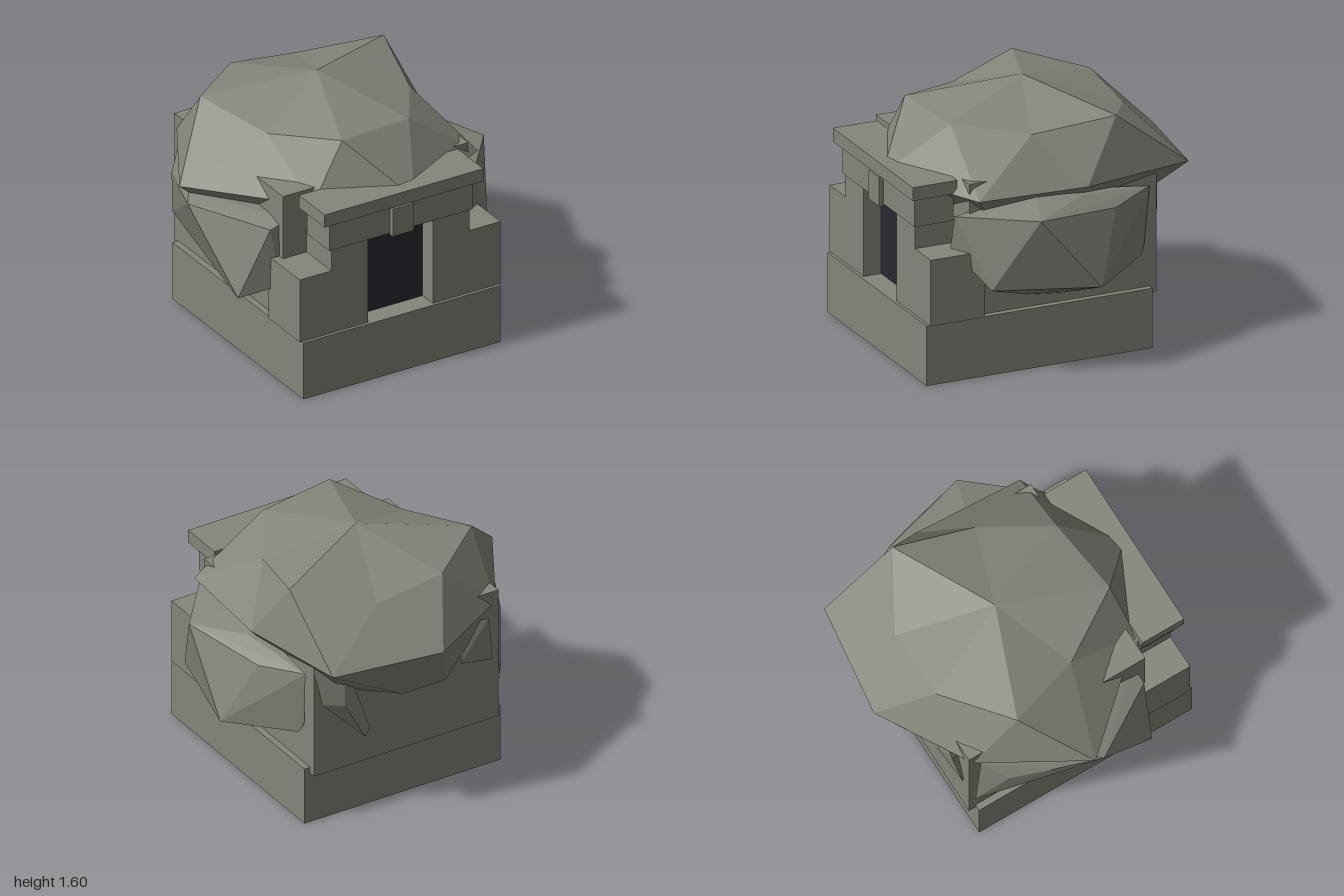
import * as THREE from 'three';
import { ConvexGeometry } from 'three/addons/geometries/ConvexGeometry.js';

const stone = new THREE.MeshStandardMaterial({ color: 0x85857c, flatShading: true, side: THREE.DoubleSide });
stone.name = 'grey stone';
const dark = new THREE.MeshStandardMaterial({ color: 0x282832, flatShading: true });
dark.name = 'dark doorway';

export function createModel() {
  const model = new THREE.Group();
  model.name = 'stoneHut';

  function add(name, geometry, material = stone) {
    const mesh = new THREE.Mesh(geometry, material);
    mesh.name = name;
    model.add(mesh);
    return mesh;
  }

  // Box given by its limits on each axis
  function block(name, [x0, x1], [y0, y1], [z0, z1], material) {
    const g = new THREE.BoxGeometry(x1 - x0, y1 - y0, z1 - z0);
    g.translate((x0 + x1) / 2, (y0 + y1) / 2, (z0 + z1) / 2);
    return add(name, g, material);
  }

  // Hollow block without its underside
  function openBlock(...args) {
    const { geometry } = block(...args);
    const faces = Array.from(geometry.index.array);
    faces.splice(18, 6);
    geometry.setIndex(faces);
    geometry.clearGroups();
  }

  // Faceted boulder wrapped around a few corner points
  function boulder(name, points) {
    return add(name, new ConvexGeometry(points.map((p) => new THREE.Vector3(...p))));
  }

  // Plinth and inner chamber
  openBlock('plinth', [-0.672, 0.705], [0, 0.38], [-0.582, 0.905]);
  openBlock('chamber', [-0.63, 0.665], [0.34, 1.22], [-0.628, 0.605]);

  // Stepped door pillars: a low outer shoulder and a taller inner post
  block('rightShoulder', [-0.685, -0.465], [0.38, 0.8], [0.53, 0.885]);
  block('rightPost', [-0.465, -0.21], [0.38, 0.945], [0.53, 0.885]);
  block('leftShoulder', [0.5, 0.717], [0.38, 0.8], [0.53, 0.885]);
  block('leftPost', [0.245, 0.5], [0.38, 0.945], [0.53, 0.885]);

  // Doorway, lintel, keystone and cap slab
  block('doorway', [-0.21, 0.245], [0.38, 0.945], [0.61, 0.77], dark);
  block('lintel', [-0.485, 0.517], [0.945, 1.135], [0.64, 0.895]);
  block('keystone', [-0.06, 0.087], [0.935, 1.12], [0.85, 0.925]);
  block('capSlab', [-0.54, 0.57], [1.135, 1.22], [0.64, 0.932]);

  // Roof boulder: apex, crown ring, rim ring, lower ring and underside centre
  const crown = [
    [-0.65, 1.49, -0.3], [-0.48, 1.41, 0.18], [-0.22, 1.485, 0.61], [0.285, 1.465, 0.55],
    [0.545, 1.42, 0.14], [0.67, 1.505, -0.36], [0.22, 1.395, -0.62], [-0.24, 1.455, -0.62],
  ];
  const rim = [
    [-0.63, 1.13, -0.6], [-1, 1.13, 0.03], [-0.45, 1.13, 0.65], [0.1, 1.145, 0.91],
    [0.75, 1.13, 0.58], [0.79, 1.13, -0.12], [0.665, 1.135, -0.84], [-0.05, 1.13, -0.935],
  ];
  const lower = rim.map(([x, , z]) => [x * 0.68, 0.85, z * 0.66]);
  lower[0] = [-0.2, 0.78, -0.72];
  lower[7] = [0.1, 0.78, -0.72];
  const points = [[0.01, 1.595, -0.05], ...crown, ...rim, ...lower, [0, 0.8, 0]];
  const C = (i) => 1 + (i % 8);
  const R = (i) => 9 + (i % 8);
  const L = (i) => 17 + (i % 8);
  const tris = [];
  for (let i = 0; i < 8; i++) {
    tris.push(0, C(i), C(i + 1));
    tris.push(C(i), R(i), R(i + 1), C(i), R(i + 1), C(i + 1));
    tris.push(R(i), L(i), L(i + 1), R(i), L(i + 1), R(i + 1));
    tris.push(L(i), 25, L(i + 1));
  }
  const indexed = new THREE.BufferGeometry();
  indexed.setAttribute('position', new THREE.Float32BufferAttribute(points.flat(), 3));
  indexed.setIndex(tris);
  const roof = indexed.toNonIndexed();
  roof.computeVertexNormals();
  add('roofBoulder', roof);

  // Side boulders leaning on the chamber
  boulder('leftBoulder', [
    [0.975, 1.035, 0.28], [1, 0.565, -0.11], [0.64, 1.02, 0.69], [0.58, 0.8, 0.69],
    [0.84, 0.59, 0.54], [0.84, 0.99, -0.28], [0.69, 1.03, -0.57], [0.68, 0.66, -0.54],
    [0.7, 0.6, -0.51], [0.66, 0.43, 0], [0.69, 0.47, 0.24], [0.68, 1.12, 0.18],
    [0.78, 1.08, -0.08], [0.45, 0.7, 0.1],
  ]);
  boulder('rightBoulder', [
    [-0.985, 1.04, 0.1], [-0.88, 0.555, 0.5], [-0.69, 0.99, 0.56], [-0.55, 1.03, 0.56],
    [-0.93, 1.07, 0.02], [-0.87, 1.0, -0.2], [-0.77, 0.95, -0.43], [-0.64, 1.08, -0.55],
    [-0.66, 0.58, -0.6], [-0.64, 0.45, 0.1], [-0.62, 0.6, 0.57], [-0.45, 0.35, 0.04],
  ]);

  // Slivers of rock breaking through the back wall
  boulder('backBoulderLeft', [
    [0.67, 1.08, -0.63], [0.48, 1.1, -0.68], [0.28, 0.56, -0.64], [0.34, 0.54, -0.68],
    [0.5, 0.82, -0.71], [0.62, 0.83, -0.65], [0.4, 0.8, -0.5],
  ]);
  boulder('backBoulderRight', [
    [-0.34, 0.82, -0.67], [-0.58, 0.76, -0.64], [-0.53, 1.08, -0.68], [-0.42, 1.08, -0.66],
    [-0.45, 0.9, -0.5],
  ]);

  return model;
}
